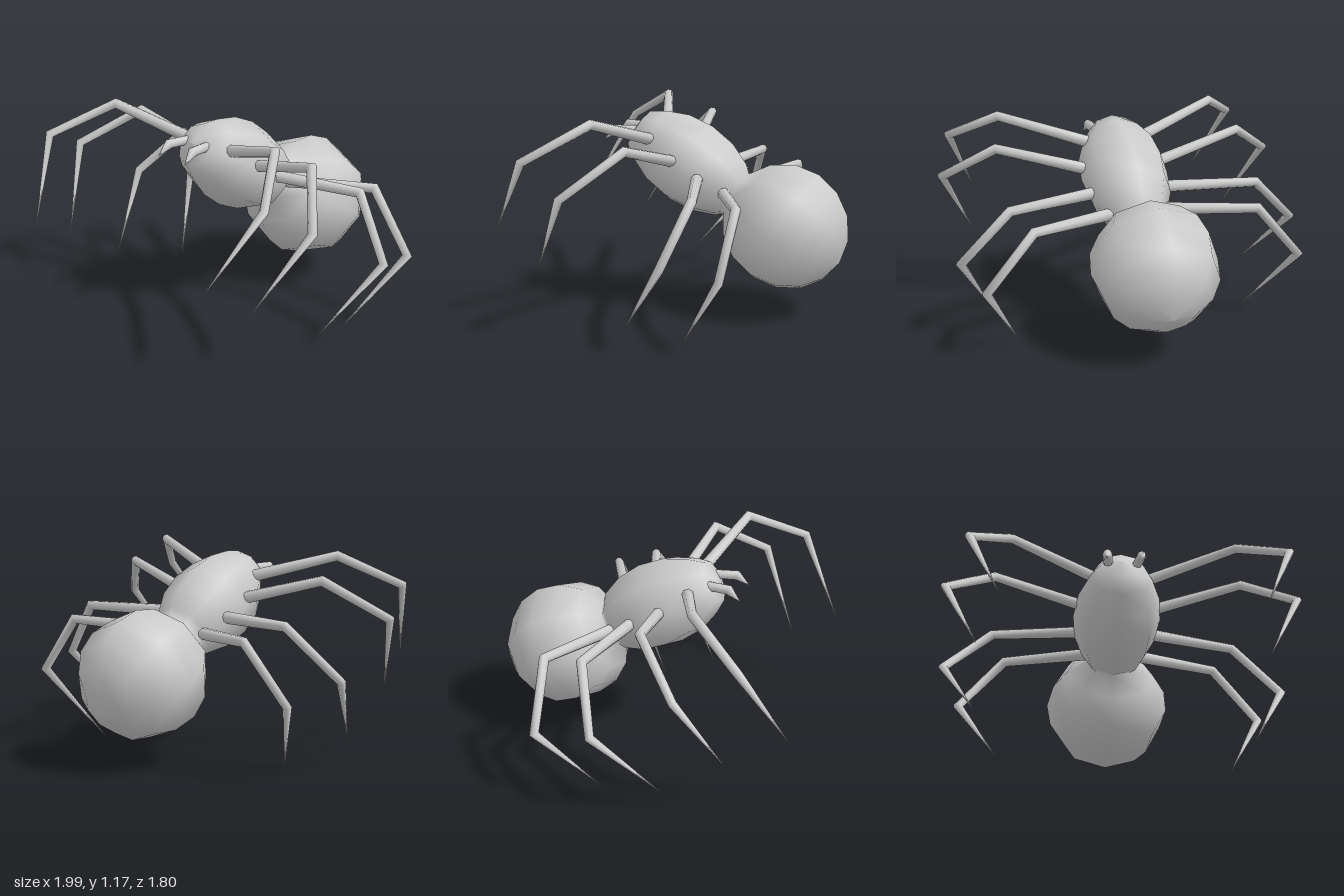
import * as THREE from 'three';

const material = new THREE.MeshStandardMaterial({ color: 0xcccccc });

// Tapered, mitred limb through joints; each joint is [x, y, z, radius]
function limb(joints, name, sides = 8) {
  const p = joints.map(j => new THREE.Vector3(j[0], j[1], j[2]));
  const last = p.length - 1;
  const plane = p[last].clone().sub(p[0]).cross(p[1].clone().sub(p[0])).normalize();
  const positions = [], index = [];
  const addRing = (i, radius) => {
    const before = p[Math.max(i, 1)].clone().sub(p[Math.max(i, 1) - 1]).normalize();
    const after = p[Math.min(i + 1, last)].clone().sub(p[Math.min(i, last - 1)]).normalize();
    const tangent = before.clone().add(after).normalize();
    const u = plane.clone().addScaledVector(tangent, -plane.dot(tangent)).normalize();
    const v = tangent.clone().cross(u);
    const stretch = 1 / tangent.dot(before); // keeps thickness through the bend
    for (let s = 0; s < sides; s++) {
      const a = (s / sides) * Math.PI * 2;
      const q = p[i].clone()
        .addScaledVector(u, Math.cos(a) * radius)
        .addScaledVector(v, Math.sin(a) * radius * stretch);
      positions.push(q.x, q.y, q.z);
    }
  };
  addRing(0, 0); // closes the root end
  joints.forEach((j, i) => addRing(i, j[3]));
  for (let r = 0; r < joints.length; r++) {
    for (let s = 0; s < sides; s++) {
      const a = r * sides + s, b = r * sides + (s + 1) % sides;
      index.push(a, b, a + sides, b, b + sides, a + sides);
    }
  }
  const geometry = new THREE.BufferGeometry();
  geometry.setAttribute('position', new THREE.Float32BufferAttribute(positions, 3));
  geometry.setIndex(index);
  geometry.computeVertexNormals();
  const mesh = new THREE.Mesh(geometry, material);
  mesh.name = name;
  return mesh;
}

// Abdomen and front body share one tilted axis, so one lathe makes both
function makeBody() {
  const profile = [];
  for (let i = 0; i <= 7; i++) {
    const a = (i / 8) * Math.PI;
    profile.push(new THREE.Vector2(0.357 * Math.sin(a), -0.641 - 0.357 * Math.cos(a)));
  }
  for (let i = 2; i <= 8; i++) {
    const a = (i / 8) * Math.PI;
    const radius = i === 7 ? 0.122 : 0.25 * Math.sin(a);
    profile.push(new THREE.Vector2(radius, -0.38 * Math.cos(a)));
  }
  profile[0].x = profile[profile.length - 1].x = 0;
  const body = new THREE.Mesh(new THREE.LatheGeometry(profile, 8), material);
  body.name = 'body';
  body.rotation.x = THREE.MathUtils.degToRad(59.5);
  body.position.y = 0.835;
  return body;
}

// Root, knee, ankle and tip of each leg, front to back
const leftLegs = [
  [[0.16, 0.99, 0.19], [0.64, 1.14, 0.34], [0.87, 0.96, 0.64], [0.69, 0.53, 0.88]],
  [[0.2, 0.88, 0.04], [0.7, 1.02, 0.13], [0.96, 0.8, 0.39], [0.75, 0.36, 0.61]],
  [[0.2, 0.79, -0.1], [0.71, 0.79, -0.24], [0.97, 0.48, -0.15], [0.76, 0.08, 0.12]],
  [[0.16, 0.71, -0.24], [0.63, 0.74, -0.45], [0.89, 0.42, -0.44], [0.67, 0.0, -0.17]],
];
const rightLegs = [
  [[-0.16, 0.99, 0.2], [-0.62, 1.12, 0.35], [-0.85, 0.95, 0.65], [-0.69, 0.5, 0.89]],
  [[-0.2, 0.88, 0.05], [-0.7, 1.01, 0.1], [-0.97, 0.8, 0.35], [-0.79, 0.36, 0.58]],
  [[-0.2, 0.79, -0.11], [-0.7, 0.8, -0.22], [-0.97, 0.52, -0.09], [-0.79, 0.14, 0.23]],
  [[-0.16, 0.71, -0.24], [-0.62, 0.74, -0.46], [-0.88, 0.43, -0.43], [-0.66, 0.03, -0.16]],
];
const legRadii = [0.034, 0.027, 0.024, 0.001];

export function createModel() {
  const group = new THREE.Group();
  group.name = 'spider';
  group.add(makeBody());

  // Eight legs
  for (const [side, legs] of [['left', leftLegs], ['right', rightLegs]]) {
    legs.forEach((points, n) => {
      const joints = points.map((q, i) => [...q, legRadii[i]]);
      group.add(limb(joints, `${side}Leg${n + 1}`));
    });
  }

  // Pair of hooked fangs
  for (const [side, s] of [['left', 1], ['right', -1]]) {
    group.add(limb([
      [0.075 * s, 1.02, 0.27, 0.026],
      [0.095 * s, 1.02, 0.41, 0.027],
      [0.105 * s, 0.965, 0.475, 0.002],
    ], `${side}Fang`));
  }
  return group;
}
